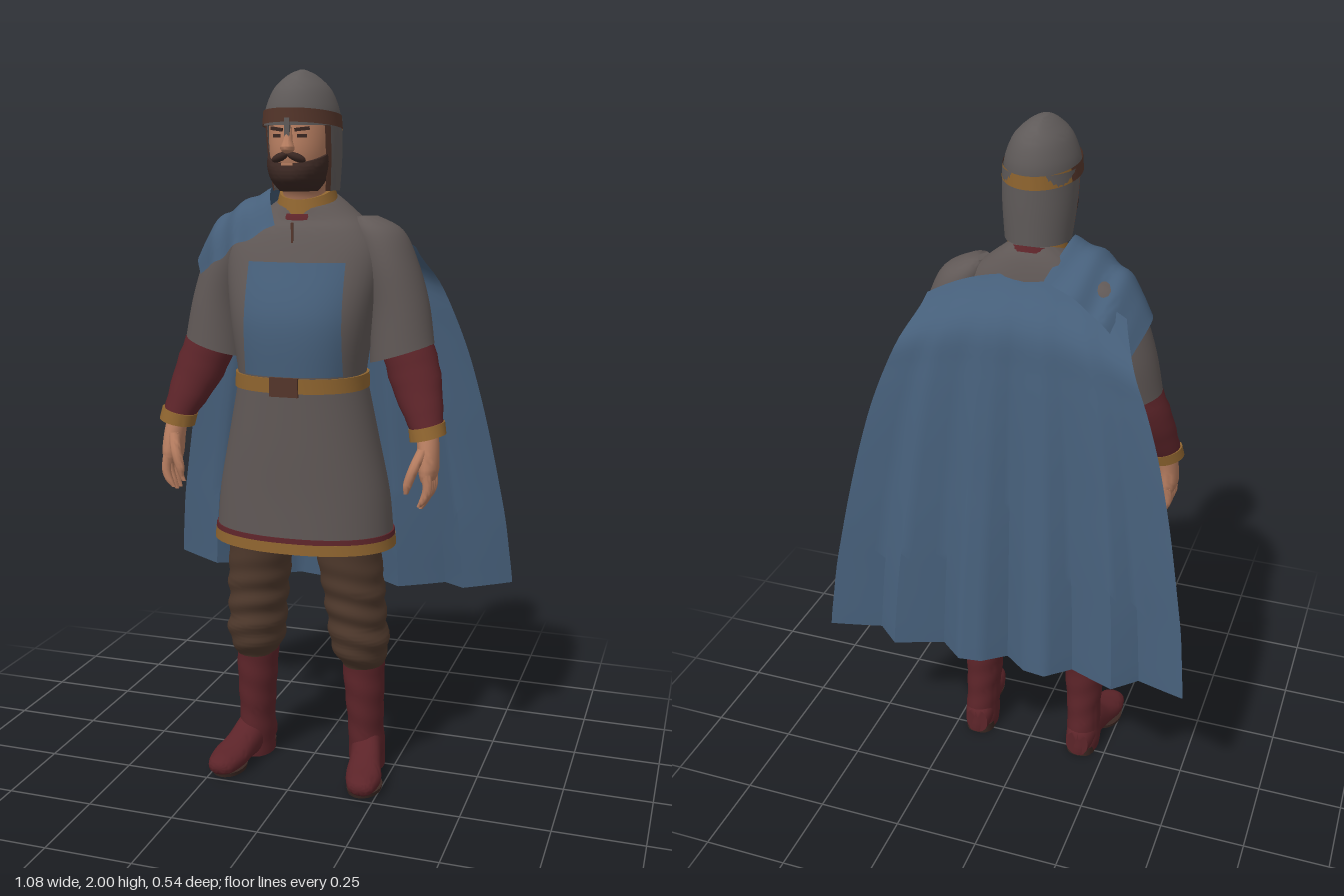
import * as THREE from 'three';
import { toCreasedNormals } from 'three/addons/utils/BufferGeometryUtils.js';

const mat = (name, color, side = THREE.FrontSide) => {
  const m = new THREE.MeshStandardMaterial({ color, side });
  m.name = name;
  return m;
};
const M = {
  tunic: mat('grey wool', 0x605856),
  steel: mat('helmet steel', 0x5f5a59, THREE.DoubleSide),
  cloak: mat('blue cloth', 0x465f7a, THREE.DoubleSide),
  wine: mat('wine leather', 0x5c2429),
  trousers: mat('brown cloth', 0x503a2d),
  gold: mat('ochre trim', 0x8e642f, THREE.DoubleSide),
  skin: mat('skin', 0xb67d60),
  beard: mat('dark hair', 0x3a2722, THREE.DoubleSide),
  leather: mat('belt leather', 0x54352a, THREE.DoubleSide),
};

// Surface from a function of u and v, facing along dU x dV
function grid(fn, nu, nv, crease = 0.9) {
  const pos = [], idx = [];
  for (let j = 0; j <= nv; j++)
    for (let i = 0; i <= nu; i++) pos.push(...fn(i / nu, j / nv));
  for (let j = 0; j < nv; j++)
    for (let i = 0; i < nu; i++) {
      const a = j * (nu + 1) + i, c = a + nu + 1;
      idx.push(a, a + 1, c, a + 1, c + 1, c);
    }
  const g = new THREE.BufferGeometry();
  g.setAttribute('position', new THREE.Float32BufferAttribute(pos, 3));
  g.setIndex(idx);
  return toCreasedNormals(g, crease);
}

// Smooth interpolation through rows of numbers, t in 0..1
function sample(rows, t) {
  const f = t * (rows.length - 1), i = Math.min(Math.floor(f), rows.length - 2), s = f - i;
  const r = (k) => rows[Math.max(0, Math.min(rows.length - 1, k))];
  return Array.from({ length: 7 }, (_, k) => {
    const [a, b, c, d] = [r(i - 1), r(i), r(i + 1), r(i + 2)].map((q) => q[k] ?? 0);
    return b + 0.5 * s * (c - a + s * (2 * a - 5 * b + 4 * c - d + s * (3 * (b - c) + d - a)));
  });
}

// Rows from top to bottom: [y, x, z, radiusX, radiusZ, tiltX, tiltZ]
function loft(rows, { p = 2, n = 32, steps = 5, a0 = 0, a1 = Math.PI * 2, cap = true, bump } = {}) {
  const nv = (rows.length - 1) * steps, extra = cap ? 1 : 0;
  const pw = (c) => Math.sign(c) * Math.abs(c) ** (2 / p);
  return grid((u, v) => {
    const j = Math.round(v * (nv + 2 * extra)) - extra;
    const [y, x, z, rx, rz, tx, tz] = sample(rows, Math.max(0, Math.min(nv, j)) / nv);
    const a = a0 + (a1 - a0) * u;
    const k = j < 0 || j > nv ? 0 : 1 + (bump ? bump(a, y) : 0);
    const dx = k * Math.max(rx, 0) * pw(Math.cos(a)), dz = k * Math.max(rz, 0) * pw(Math.sin(a));
    return [x + dx, y + tx * dx + tz * dz, z + dz];
  }, n, nv + 2 * extra);
}
const mirror = (rows, s) => rows.map(([y, x, z, rx, rz, tx = 0, tz = 0]) => [y, x * s, z, rx, rz, tx * s, tz]);

export function createModel() {
  const model = new THREE.Group();
  const add = (name, geo, material, parent = model) => {
    const m = new THREE.Mesh(geo, material);
    m.name = name;
    parent.add(m);
    return m;
  };
  const box = (name, w, h, d, x, y, z, material) =>
    add(name, new THREE.BoxGeometry(w, h, d), material).position.set(x, y, z);

  // Tunic body and skirt
  const chest = [[1.5, 0, 0.075, 0.22, 0.14], [1.35, 0, 0.105, 0.2, 0.16], [1.2, 0, 0.108, 0.177, 0.157]];
  const torso = [[1.665, 0, 0.065, 0.075, 0.083, 0, -0.3], [1.63, 0, 0.06, 0.125, 0.1, 0, -0.2],
    [1.58, 0, 0.062, 0.185, 0.12], ...chest, [1.15, 0, 0.105, 0.177, 0.15]];
  add('tunicBody', loft(torso, { p: 2.3, n: 48 }), M.tunic);
  add('tunicSkirt', loft([[1.18, 0, 0.105, 0.178, 0.153], [1.0, 0, 0.097, 0.215, 0.16],
    [0.85, 0, 0.09, 0.245, 0.164], [0.72, 0, 0.088, 0.257, 0.166]], { p: 2.2, n: 48 }), M.tunic);
  add('hemPiping', loft([[0.75, 0, 0.088, 0.259, 0.168], [0.735, 0, 0.088, 0.261, 0.17]], { p: 2.2, n: 48, steps: 1 }), M.wine);
  add('hemTrim', loft([[0.736, 0, 0.088, 0.261, 0.17], [0.706, 0, 0.088, 0.264, 0.172]], { p: 2.2, n: 48, steps: 1 }), M.gold);

  // Chest panel lies just above the tunic front
  add('chestPanel', grid((u, v) => {
    const [y, , z, rx, rz] = sample(torso, (3 + 2 * v) / 6);
    const x = -0.12 + 0.268 * u;
    return [x, y, z + rz * (1 - Math.abs(x / rx) ** 2.3) ** (1 / 2.3) + 0.005];
  }, 24, 16), M.cloak);

  // Belt and collar
  add('belt', loft([[1.195, 0, 0.107, 0.184, 0.161], [1.155, 0, 0.107, 0.186, 0.161]], { p: 2.3, n: 48, steps: 1 }), M.gold);
  box('buckle', 0.08, 0.052, 0.012, 0, 1.172, 0.266, M.leather);
  add('collarTrim', loft([[1.69, 0, 0.066, 0.074, 0.08, 0, -0.35], [1.655, 0, 0.066, 0.083, 0.089, 0, -0.35]], { steps: 1 }), M.gold);
  add('collarPiping', loft([[1.655, 0, 0.066, 0.085, 0.091, 0, -0.35], [1.64, 0, 0.066, 0.096, 0.098, 0, -0.33]], { steps: 1 }), M.wine);
  box('neckSlit', 0.006, 0.07, 0.006, 0, 1.568, 0.193, M.leather);

  // Head
  add('head', loft([[1.9, 0, 0.1, 0.083, 0.112], [1.85, 0, 0.112, 0.084, 0.108], [1.78, 0, 0.125, 0.078, 0.1],
    [1.72, 0, 0.115, 0.068, 0.09], [1.68, 0, 0.08, 0.06, 0.072], [1.61, 0, 0.065, 0.062, 0.068]]), M.skin);
  add('nose', loft([[1.85, 0, 0.218, 0.009, 0.01], [1.815, 0, 0.225, 0.013, 0.018],
    [1.795, 0, 0.228, 0.019, 0.022], [1.782, 0, 0.222, 0.01, 0.012]], { n: 12 }), M.skin);
  add('beard', loft([[1.785, 0, 0.13, 0.084, 0.097, 0, -0.3], [1.755, 0, 0.135, 0.083, 0.1, 0, -0.15],
    [1.715, 0, 0.132, 0.073, 0.1], [1.685, 0, 0.13, 0.05, 0.075]], { a0: -0.1, a1: Math.PI + 0.1 }), M.beard);
  for (const s of [-1, 1]) {
    const mo = add('moustache', new THREE.SphereGeometry(0.026, 14, 8), M.beard);
    mo.scale.set(1, 0.42, 0.5);
    mo.position.set(s * 0.023, 1.773, 0.224);
    mo.rotation.set(0, s * 0.25, -s * 0.35);
    const eye = add('eye', new THREE.BoxGeometry(0.026, 0.009, 0.006), M.beard);
    eye.position.set(s * 0.034, 1.828, 0.211);
    eye.rotation.y = s * 0.4;
    const brow = add('eyebrow', new THREE.BoxGeometry(0.04, 0.009, 0.009), M.beard);
    brow.position.set(s * 0.034, 1.845, 0.211);
    brow.rotation.set(0, s * 0.4, s * 0.12);
  }
  box('lips', 0.03, 0.006, 0.008, 0, 1.755, 0.231, M.skin);

  // Helmet with band, nasal and neck guard
  add('helmetDome', loft([[2.0, 0, 0.098, 0.006, 0.02], [1.985, 0, 0.1, 0.036, 0.066], [1.95, 0, 0.102, 0.073, 0.105],
    [1.9, 0, 0.103, 0.095, 0.125], [1.855, 0, 0.103, 0.101, 0.128]]), M.steel);
  const band = [[1.886, 0, 0.103, 0.102, 0.13, 0, 0.1], [1.85, 0, 0.103, 0.105, 0.131, 0, 0.1]];
  add('helmetBandFront', loft(band, { a0: -0.4, a1: Math.PI + 0.4, steps: 1, cap: false }), M.leather);
  add('helmetBandBack', loft(band, { a0: Math.PI + 0.4, a1: Math.PI * 2 - 0.4, steps: 1, cap: false }), M.gold);
  box('nasal', 0.014, 0.05, 0.012, 0, 1.848, 0.23, M.steel);
  const guard = [[1.875, 0, 0.09, 0.101, 0.116], [1.78, 0, 0.08, 0.099, 0.106], [1.685, 0, 0.068, 0.09, 0.092]];
  add('neckGuard', loft(guard, { a0: Math.PI - 0.6, a1: Math.PI * 2 + 0.6, cap: false }), M.steel);
  const edge = guard.map(([y, x, z, rx, rz]) => [y, x, z, rx + 0.003, rz + 0.003]);
  for (const a of [0.5, Math.PI - 0.68])
    add('guardEdge', loft(edge, { a0: a, a1: a + 0.18, n: 4, cap: false }), M.leather);

  for (const s of [1, -1]) {
    const side = s > 0 ? 'left' : 'right';
    const part = (name, rows, material, opt) => add(side + name, loft(mirror(rows, s), opt), material);

    // Arms
    part('Sleeve', [[1.617, 0.165, 0.045, 0.03, 0.04], [1.58, 0.198, 0.045, 0.065, 0.08], [1.5, 0.228, 0.045, 0.076, 0.098],
      [1.38, 0.26, 0.05, 0.08, 0.096, 0.1], [1.25, 0.272, 0.064, 0.088, 0.087, 0.32]], M.tunic);
    part('Bracer', [[1.29, 0.28, 0.06, 0.068, 0.072, 0.3], [1.18, 0.318, 0.085, 0.067, 0.068, 0.3],
      [1.06, 0.362, 0.135, 0.044, 0.05, 0.25]], M.wine, { bump: (a, y) => 0.02 * Math.sin(y * 150 + a) });
    part('Cuff', [[1.067, 0.361, 0.134, 0.049, 0.055, 0.25], [1.035, 0.367, 0.142, 0.049, 0.055, 0.25]], M.gold, { steps: 1 });

    // Hands
    part('Palm', [[1.05, 0.365, 0.14, 0.03, 0.036], [1.0, 0.371, 0.152, 0.029, 0.042],
      [0.95, 0.374, 0.158, 0.027, 0.049], [0.922, 0.373, 0.158, 0.018, 0.045]], M.skin, { n: 20 });
    for (let i = 0; i < 4; i++) {
      const z = 0.122 + i * 0.024, tip = 0.855 - 0.012 * Math.sin((i * Math.PI) / 3);
      part('Finger', [[0.945, 0.376, z, 0.014, 0.013], [0.905, 0.38, z + 0.003, 0.013, 0.0125],
        [0.875, 0.371, z + 0.004, 0.0115, 0.0115], [tip, 0.358, z + 0.004, 0.006, 0.006]], M.skin, { n: 10, steps: 3 });
    }
    part('Thumb', [[1.01, 0.362, 0.176, 0.015, 0.018], [0.965, 0.346, 0.205, 0.015, 0.016],
      [0.92, 0.331, 0.213, 0.013, 0.013], [0.892, 0.326, 0.214, 0.006, 0.006]], M.skin, { n: 10 });

    // Trouser legs, creased around the knee
    part('Trouser', [[0.85, 0.125, 0.09, 0.098, 0.125], [0.7, 0.13, 0.09, 0.092, 0.11], [0.58, 0.143, 0.082, 0.088, 0.1],
      [0.47, 0.152, 0.07, 0.083, 0.098], [0.4, 0.158, 0.062, 0.083, 0.096], [0.335, 0.163, 0.045, 0.06, 0.076]], M.trousers,
      { steps: 12, bump: (a, y) => 0.045 * THREE.MathUtils.smoothstep(0.72 - y, 0, 0.2) * Math.sin(y * 88 + 1.6 * Math.sin(a + s) + Math.cos(2 * a)) });

    // Boots
    part('BootShaft', [[0.36, 0.163, 0.042, 0.062, 0.074], [0.25, 0.167, 0.04, 0.057, 0.07], [0.14, 0.17, 0.033, 0.051, 0.068],
      [0.06, 0.173, 0.028, 0.052, 0.07], [0.005, 0.173, 0.025, 0.05, 0.067]], M.wine,
      { steps: 8, bump: (a, y) => 0.018 * Math.sin(y * 75 + 1.5 * Math.cos(a)) });
    const foot = loft(mirror([[0.253, 0.213, -0.034, 0.018, 0.014], [0.235, 0.211, -0.036, 0.039, 0.027],
      [0.18, 0.205, -0.041, 0.052, 0.035], [0.12, 0.193, -0.053, 0.047, 0.045], [0.06, 0.18, -0.07, 0.046, 0.066],
      [0.0, 0.173, -0.065, 0.047, 0.06], [-0.04, 0.17, -0.05, 0.036, 0.045]], s), { p: 2.2, n: 24 });
    add(side + 'Foot', foot.rotateX(Math.PI / 2), M.wine);
    part('Sole', [[0.016, 0.207, 0.175, 0.05, 0.07], [0.004, 0.207, 0.175, 0.048, 0.067]], M.beard, { steps: 1 });
    part('Heel', [[0.03, 0.172, 0.015, 0.047, 0.055], [0, 0.172, 0.015, 0.046, 0.054]], M.beard, { steps: 1, p: 2.6 });
  }

  // Cape: widens downward, with pleats that deepen toward the hem
  const pleatX = [0, 0.066, 0.132, 0.2, 0.334, 0.4, 0.54], pleatZ = [0, 0.05, 0.06, 0.005, 0.065, 0.01, 0.065];
  const fall = [[0.28, -0.045], [0.328, -0.13], [0.372, -0.147], [0.408, -0.157], [0.436, -0.165], [0.46, -0.172],
    [0.481, -0.18], [0.5, -0.187], [0.518, -0.193], [0.53, -0.199], [0.54, -0.205]];
  add('cape', grid((u, v) => {
    const q = (u * 2 - 1) * 6, i = Math.min(5, Math.floor(Math.abs(q))), f = Math.abs(q) - i;
    const x = Math.sign(q) * THREE.MathUtils.lerp(pleatX[i], pleatX[i + 1], f) / 0.54;
    const [w, z] = sample(fall, v);
    const top = 1.615 - 0.085 * x * x, hem = 0.48 + 0.035 * x * x;
    return [x * w, top + (hem - top) * v, z - v * THREE.MathUtils.lerp(pleatZ[i], pleatZ[i + 1], f)];
  }, 48, 40), M.cloak);

  // Draped mantle over the right shoulder: arcs from front to back, neck to arm
  const arcs = [
    [[-0.055, 1.595, 0.178], [-0.085, 1.67, 0.13], [-0.095, 1.69, 0.05], [-0.06, 1.615, -0.065]],
    [[-0.14, 1.55, 0.205], [-0.165, 1.63, 0.15], [-0.175, 1.65, 0.045], [-0.165, 1.57, -0.085]],
    [[-0.225, 1.495, 0.18], [-0.25, 1.57, 0.135], [-0.262, 1.597, 0.04], [-0.25, 1.5, -0.09]],
    [[-0.29, 1.455, 0.135], [-0.312, 1.49, 0.1], [-0.326, 1.49, 0.035], [-0.3, 1.43, -0.075]],
  ];
  add('shoulderMantle', grid((u, v) => {
    const [x, y, z] = sample(arcs.map((arc) => sample(arc, u)), v);
    const fold = 0.006 * Math.sin(v * 19 + u * 3) * Math.sin(Math.PI * Math.min(1, v * 1.2));
    return [x, y + fold, z + fold * (1 - 2 * u)];
  }, 24, 30), M.cloak);

  return model;
}
